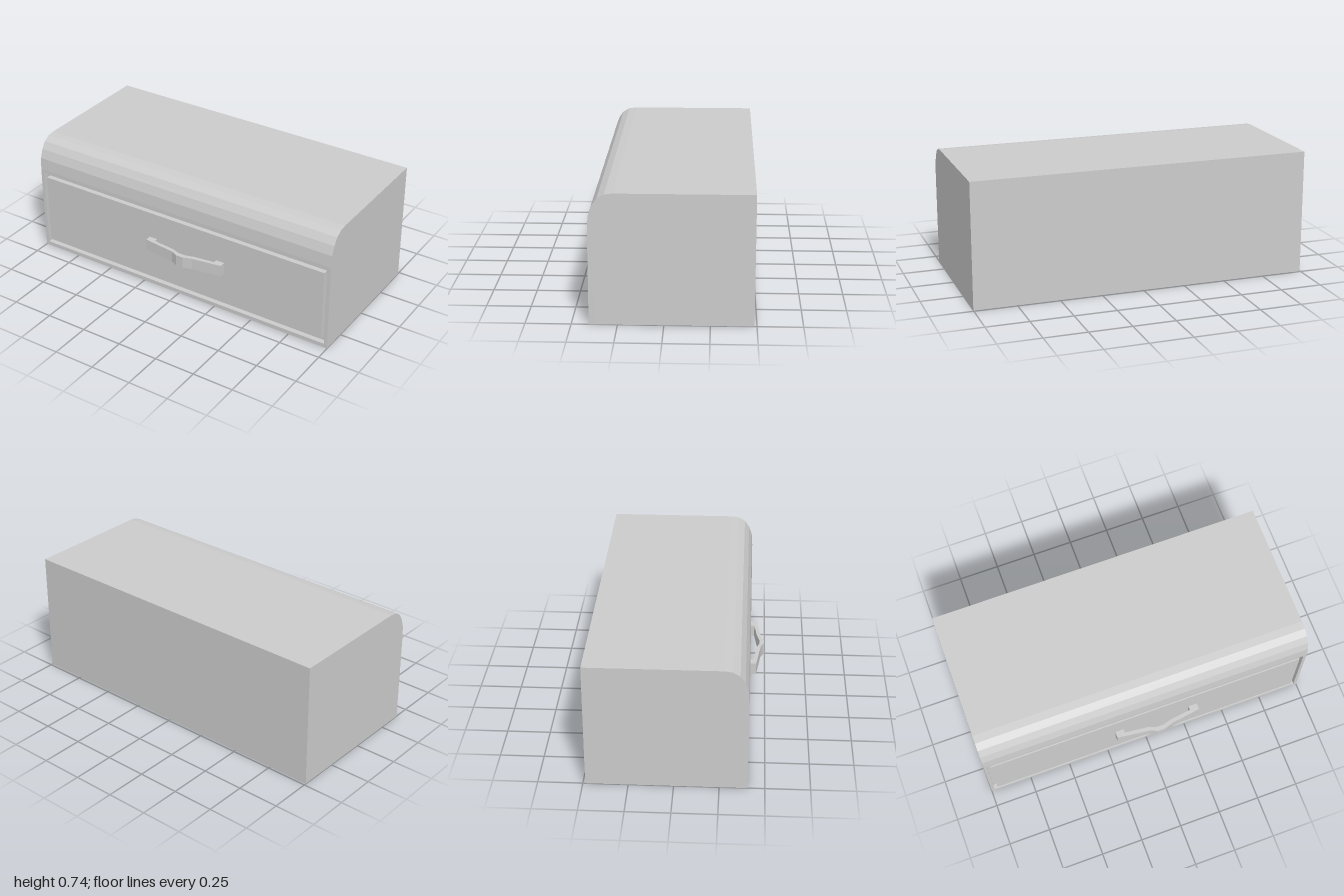
import * as THREE from 'three';

const grey = new THREE.MeshStandardMaterial({ color: 0xcccccc, flatShading: true });

const FRONT = 0.405, BACK = -0.487, TOP = 0.736, GROOVE = 0.03, FRAME_TOP = 0.54;

function polygon(points) {
  return new THREE.Shape(points.map(([x, y]) => new THREE.Vector2(x, y)));
}

function rectangle(x, y0, y1) {
  return polygon([[-x, y0], [x, y0], [x, y1], [-x, y1]]);
}

function addExtrusion(group, name, shape, depth, place) {
  const geometry = new THREE.ExtrudeGeometry(shape, { depth, bevelEnabled: false });
  place(geometry);
  const mesh = new THREE.Mesh(geometry, grey);
  mesh.name = name;
  group.add(mesh);
}

export function createModel() {
  const group = new THREE.Group();
  group.name = 'drawerCabinet';

  // Cabinet side profile as [z, y], rounded at the upper front, stepped back behind the frame
  const profile = [
    [BACK, 0], [FRONT - GROOVE, 0], [FRONT - GROOVE, FRAME_TOP],
    [FRONT, FRAME_TOP], [0.4, 0.612], [0.381, 0.666], [0.353, 0.707],
    [0.313, 0.73], [0.267, TOP], [BACK, TOP],
  ];
  addExtrusion(group, 'cabinetBody', polygon(profile.map(([z, y]) => [-z, y])), 2,
    (g) => g.translate(0, 0, -1).rotateY(Math.PI / 2));

  // Front frame around the drawer opening
  const frame = rectangle(1, 0, FRAME_TOP);
  frame.holes.push(rectangle(0.98, 0.025, 0.52));
  addExtrusion(group, 'frontFrame', frame, GROOVE, (g) => g.translate(0, 0, FRONT - GROOVE));

  // Drawer front, flush with the frame and separated by a groove
  addExtrusion(group, 'drawerFront', rectangle(0.96, 0.054, 0.492), GROOVE,
    (g) => g.translate(0, 0, FRONT - GROOVE));

  // Bowed handle, outlined from above as [x, z]: outer edge, then inner edge
  const handle = [
    [-0.2, FRONT], [-0.2, 0.442], [0, 0.467], [0.04, 0.486], [0.085, 0.486],
    [0.14, 0.468], [0.318, 0.442], [0.318, FRONT],
    [0.264, FRONT], [0.264, 0.428], [0.14, 0.444], [0.085, 0.459], [0.04, 0.459],
    [-0.01, 0.442], [-0.148, 0.427], [-0.148, FRONT],
  ];
  addExtrusion(group, 'drawerHandle', polygon(handle.map(([x, z]) => [x, -z])), 0.07,
    (g) => g.rotateX(-Math.PI / 2).translate(0, 0.257, 0));

  return group;
}
